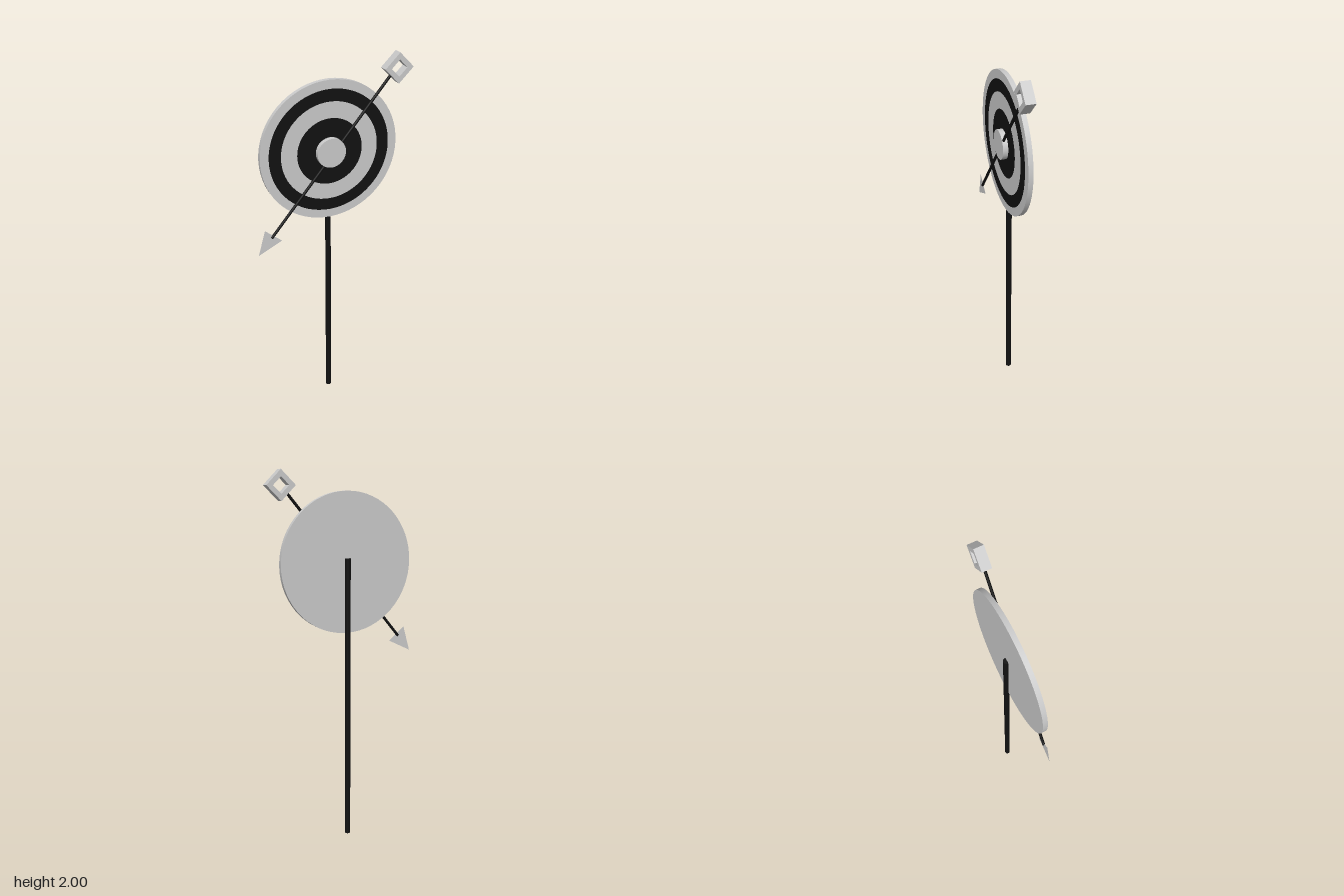
import * as THREE from 'three';

const CX = -0.012, CY = 1.527; // centre of the round target

export function createModel() {
  const group = new THREE.Group();
  const grey = new THREE.MeshStandardMaterial({ color: 0xcccccc });
  const greyThin = new THREE.MeshStandardMaterial({ color: 0xcccccc, side: THREE.DoubleSide });
  const black = new THREE.MeshStandardMaterial({ color: 0x111111 });

  const add = (name, geometry, material, x = 0, y = 0, z = 0) => {
    const mesh = new THREE.Mesh(geometry, material);
    mesh.name = name;
    mesh.position.set(x, y, z);
    group.add(mesh);
    return mesh;
  };
  // Cylinder lying along z
  const disc = (radius, depth) =>
    new THREE.CylinderGeometry(radius, radius, depth, 64).rotateX(Math.PI / 2);

  // Post behind the target
  add('post', new THREE.CylinderGeometry(0.015, 0.015, 1.553, 24), black, CX, 1.553 / 2, -0.029);

  // Target plate, painted rings and raised hub
  add('targetPlate', disc(0.368, 0.025), grey, CX, CY, -0.0125);
  add('outerRing', new THREE.RingGeometry(0.26, 0.323, 64), black, CX, CY, 0.001);
  add('innerRing', new THREE.RingGeometry(0.07, 0.175, 64), black, CX, CY, 0.001);
  add('hub', disc(0.0765, 0.028), grey, CX, CY, 0.014);

  // Arrow shaft running diagonally through the hub
  const a = new THREE.Vector3(-0.343, 1.107, 0.019);
  const b = new THREE.Vector3(0.302, 1.886, 0.019);
  const dir = b.clone().sub(a);
  const shaft = add('arrowShaft', new THREE.CylinderGeometry(0.0075, 0.0075, dir.length(), 16), black);
  shaft.position.copy(a).add(b).multiplyScalar(0.5);
  shaft.quaternion.setFromUnitVectors(new THREE.Vector3(0, 1, 0), dir.normalize());

  // Flat arrow head
  const head = new THREE.Shape([
    new THREE.Vector2(-0.417, 1.018),
    new THREE.Vector2(-0.288, 1.082),
    new THREE.Vector2(-0.378, 1.156),
  ]);
  add('arrowHead', new THREE.ShapeGeometry(head), greyThin, 0, 0, 0.019);

  // Square frame at the tail, standing on its corner
  const diamond = (r) => [[r, 0], [0, r], [-r, 0], [0, -r]].map(([x, y]) => new THREE.Vector2(x, y));
  const frame = new THREE.Shape(diamond(0.077));
  frame.holes.push(new THREE.Path(diamond(0.042)));
  add('tailFrame', new THREE.ExtrudeGeometry(frame, { depth: 0.05, bevelEnabled: false }),
    grey, 0.339, 1.923, -0.008);

  return group;
}
